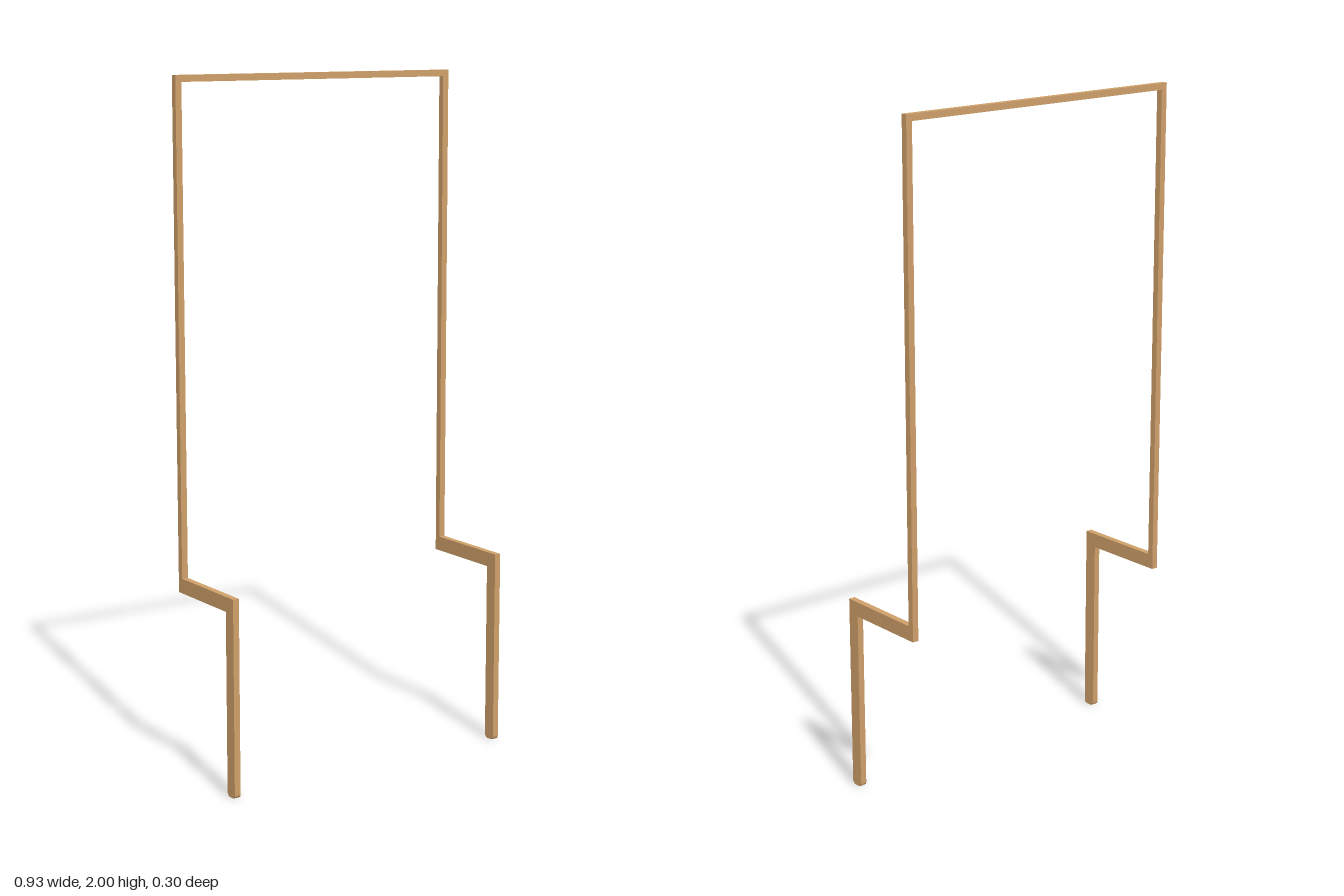
import * as THREE from 'three';

const T = 0.019;          // timber thickness
const OUT = 0.467;        // outer half width
const FRONT = 0.148, BACK = -0.149;
const ARM_TOP = 0.578, ARM_BOTTOM = 0.535, LEG_BACK = 0.109;

export function createModel() {
  const group = new THREE.Group();
  const wood = new THREE.MeshStandardMaterial({ color: 0xcfa06a, flatShading: true });

  const add = (name, geometry, x, y, z) => {
    const mesh = new THREE.Mesh(geometry, wood);
    mesh.name = name;
    mesh.position.set(x, y, z);
    group.add(mesh);
  };

  // Leg and arm profile (z, y), with rounded corners at the foot
  const r = 0.012;
  const profile = new THREE.Shape();
  profile.moveTo(FRONT - r, 0);
  profile.absarc(FRONT - r, r, r, -Math.PI / 2, 0, false);
  profile.lineTo(FRONT, ARM_TOP);
  profile.lineTo(BACK, ARM_TOP);
  profile.lineTo(BACK, ARM_BOTTOM);
  profile.lineTo(LEG_BACK, ARM_BOTTOM);
  profile.lineTo(LEG_BACK, r);
  profile.absarc(LEG_BACK + r, r, r, Math.PI, Math.PI * 1.5, false);
  const bracket = new THREE.ExtrudeGeometry(profile, { depth: T, bevelEnabled: false, curveSegments: 4 });
  bracket.translate(0, 0, -T / 2).rotateY(-Math.PI / 2);

  // Thin upright posts standing on the back ends of the arms
  const postHeight = 2 - T - ARM_TOP;
  const post = new THREE.BoxGeometry(T, postHeight, T);

  for (const [side, s] of [['left', 1], ['right', -1]]) {
    const x = s * (OUT - T / 2);
    add(side + 'LegAndArm', bracket, x, 0, 0);
    add(side + 'Post', post, x, ARM_TOP + postHeight / 2, BACK + T / 2);
  }

  // Crossbar over both posts
  add('crossbar', new THREE.BoxGeometry(2 * OUT, T, T), 0, 2 - T / 2, BACK + T / 2);
  return group;
}
